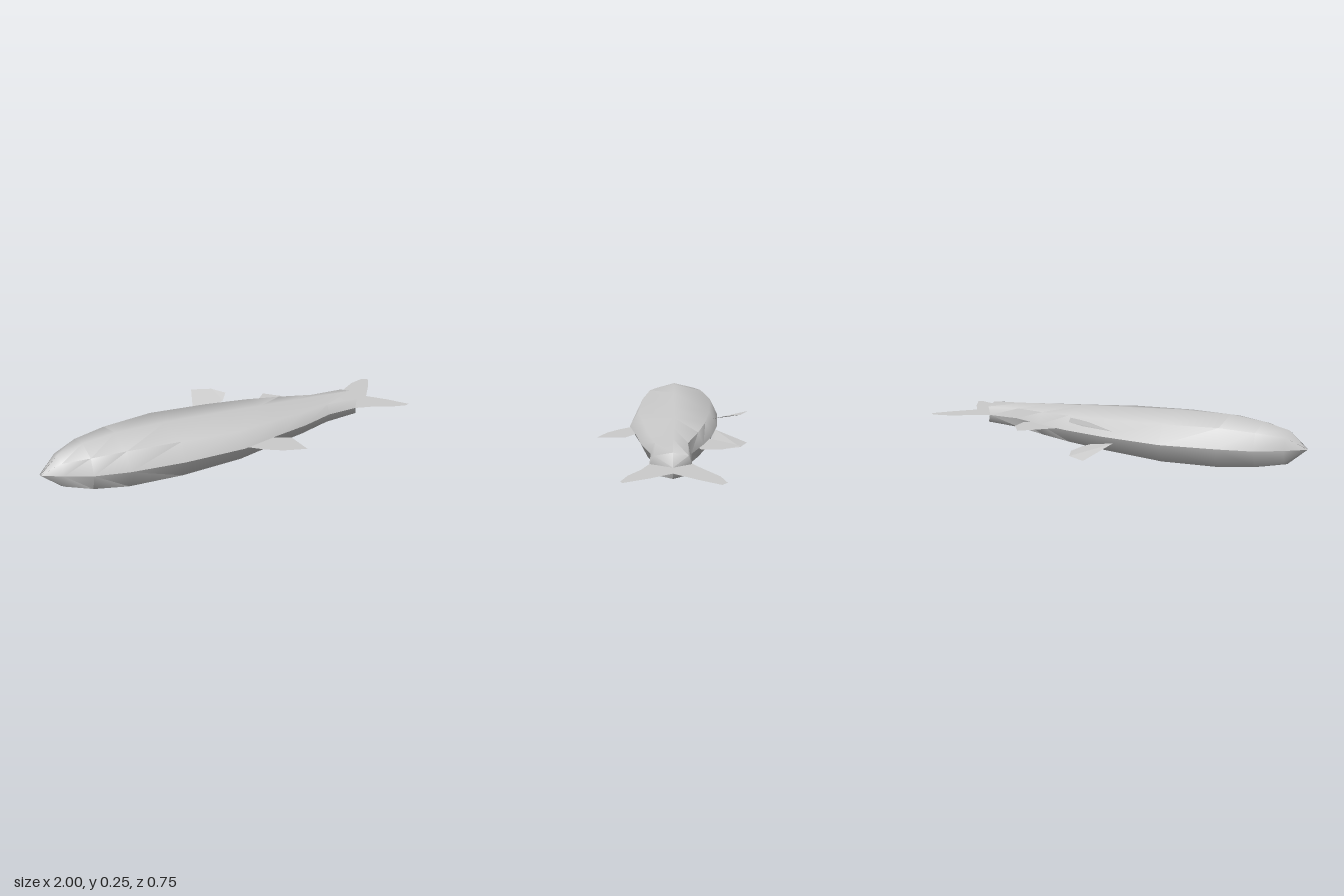
import * as THREE from 'three';
import { toCreasedNormals } from 'three/addons/utils/BufferGeometryUtils.js';

const MID = 0.125; // height of the fish's plane of symmetry; it lies on its side
const material = new THREE.MeshStandardMaterial({ color: 0xcccccc, side: THREE.DoubleSide });

// Body stations from nose to tail: x, back edge (+z), belly edge (-z), half thickness, forward bulge
const stations = [
  [-1.0, 0.005, 0.005, 0, 0],
  [-0.91, 0.065, 0.075, 0.08, 0],
  [-0.79, 0.13, 0.148, 0.108, 0],
  [-0.63, 0.175, 0.19, 0.125, 0],
  [-0.37, 0.212, 0.24, 0.122, 0],
  [-0.06, 0.225, 0.222, 0.104, 0],
  [0.16, 0.18, 0.188, 0.091, 0],
  [0.34, 0.15, 0.14, 0.08, 0],
  [0.52, 0.1, 0.08, 0.069, 0],
  [0.69, 0.1, 0.08, 0.057, 0.03],
  [0.75, 0, 0, 0, 0],
];

// One flank of the body: five points across, from the back edge over the side to the belly edge
function flankGeometry(sign) {
  const positions = [];
  const index = [];
  for (const [x, back, belly, half, bulge] of stations) {
    const across = [[back, 0], [back * 0.8, 0.73], [0, 1], [-belly * 0.82, 0.73], [-belly, 0]];
    for (const [z, h] of across) positions.push(x + bulge * h, MID + sign * h * half, z);
  }
  const last = stations.length - 2;
  for (let i = 0; i <= last; i++) {
    for (let j = 0; j < 4; j++) {
      const a = i * 5 + j, b = a + 5, c = b + 1, d = a + 1;
      const triangles = [];
      if (i < last) triangles.push([a, b, c]);
      else triangles.push([a, c, d]);
      if (i > 0 && i < last) triangles.push([a, c, d]);
      // the nose is almost a point, so it takes single triangles
      for (const [p, q, r] of triangles) index.push(...(sign > 0 ? [p, q, r] : [p, r, q]));
    }
  }
  const geometry = new THREE.BufferGeometry();
  geometry.setAttribute('position', new THREE.Float32BufferAttribute(positions, 3));
  geometry.setIndex(index);
  return toCreasedNormals(geometry, 1.0);
}

// Thin fin from an outline of [x, z] points; heightAt gives y for each point
function fin(name, outline, heightAt = () => MID) {
  const shape = new THREE.Shape(outline.map(([x, z]) => new THREE.Vector2(x, z)));
  let geometry = new THREE.ShapeGeometry(shape).rotateX(Math.PI / 2);
  const p = geometry.attributes.position;
  for (let i = 0; i < p.count; i++) p.setY(i, heightAt(p.getX(i), p.getZ(i)));
  geometry = geometry.toNonIndexed();
  geometry.computeVertexNormals();
  const mesh = new THREE.Mesh(geometry, material);
  mesh.name = name;
  return mesh;
}

export function createModel() {
  const fish = new THREE.Group();
  fish.name = 'fish';

  // Body, two mirrored flanks meeting in a sharp ridge
  const body = new THREE.Group();
  body.name = 'body';
  for (const [name, sign] of [['upperFlank', 1], ['lowerFlank', -1]]) {
    const flank = new THREE.Mesh(flankGeometry(sign), material);
    flank.name = name;
    body.add(flank);
  }
  fish.add(body);

  // Fins in the plane of symmetry
  fish.add(fin('tailFin', [
    [0.66, -0.07], [0.75, -0.115], [0.88, -0.19], [0.97, -0.213], [1, -0.19], [0.93, -0.1],
    [0.84, 0], [0.91, 0.09], [0.975, 0.195], [0.955, 0.205], [0.87, 0.18], [0.78, 0.13], [0.66, 0.09],
  ]));
  fish.add(fin('dorsalFin', [
    [-0.05, 0.21], [0.02, 0.28], [0.09, 0.33], [0.2, 0.372], [0.2, 0.235], [0.11, 0.18],
  ]));
  fish.add(fin('analFin', [
    [0.21, -0.165], [0.28, -0.235], [0.36, -0.31], [0.43, -0.23], [0.44, -0.13], [0.39, -0.11],
  ]));

  // Pair of belly fins, spreading away from the plane of symmetry
  const bellyFin = [
    [-0.12, -0.215], [-0.05, -0.378], [0.05, -0.335], [0.09, -0.25], [0.05, -0.205], [0.01, -0.19],
  ];
  for (const [name, sign] of [['upperBellyFin', 1], ['lowerBellyFin', -1]]) {
    fish.add(fin(name, bellyFin, (x, z) => MID + sign * Math.min(0.083, 0.005 + 0.222 * x - 0.237 * z)));
  }
  return fish;
}
